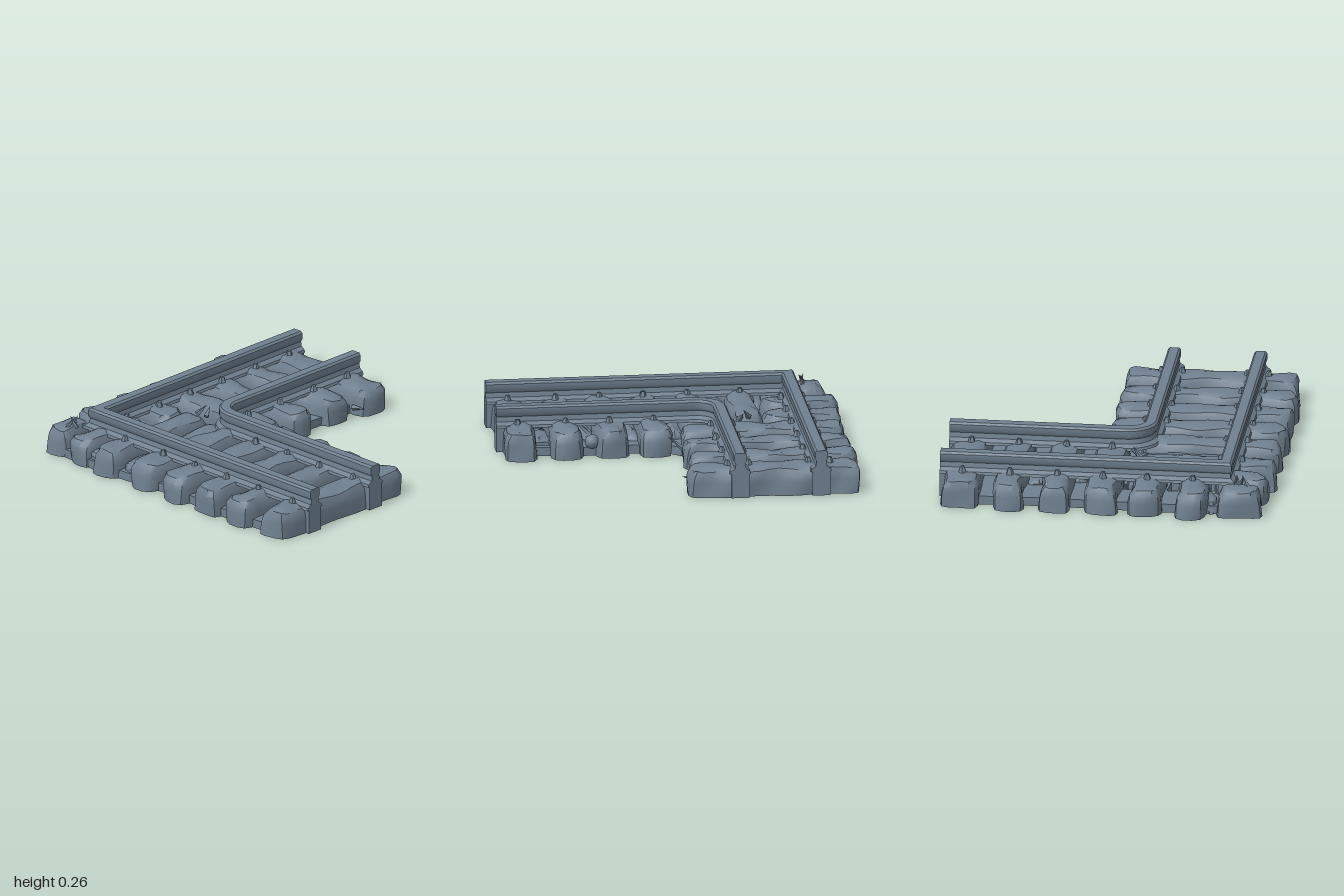
import * as THREE from 'three';
import { toCreasedNormals } from 'three/addons/utils/BufferGeometryUtils.js';

export function createModel() {
  const group = new THREE.Group();
  const slate = new THREE.MeshStandardMaterial({ color: 0x708090 });
  slate.name = 'slate grey';

  let seed = 11;
  const rnd = () => (seed = (seed * 16807) % 2147483647) / 2147483647;

  const add = (name, geo, crease = 0.6) => {
    const mesh = new THREE.Mesh(toCreasedNormals(geo, crease), slate);
    mesh.name = name;
    group.add(mesh);
    return mesh;
  };

  // Rough hewn block: a box with softened top edges, bulging ends and uneven faces
  const hewn = (name, x0, x1, z0, z1, y1, rough = 0.012) => {
    const w = x1 - x0, d = z1 - z0;
    const geo = new THREE.BoxGeometry(w, y1, d, Math.ceil(w / 0.06), 4, Math.ceil(d / 0.06));
    const p = geo.attributes.position;
    const a = rnd() * 6, b = rnd() * 6, skew = (rnd() - 0.5) * 0.03;
    for (let i = 0; i < p.count; i++) {
      let x = p.getX(i), y = p.getY(i) + y1 / 2, z = p.getZ(i);
      const ex = Math.max(0, Math.abs(x) - w / 2 + 0.05) / 0.05;
      const ez = Math.max(0, Math.abs(z) - d / 2 + 0.05) / 0.05;
      const t = Math.max(0, y / y1 - 0.6) / 0.4;
      const nx = rough * Math.sin(z * 17 + y * 13 + a) * Math.sin(x * 9 + b);
      const nz = rough * Math.sin(x * 15 + y * 11 + b) * Math.cos(z * 8 + a);
      const top = 0.006 * Math.sin(x * 19 + z * 23 + a);
      x += nx - Math.sign(x) * ex * (0.02 * t * t + 0.015 * ez);
      z += nz - Math.sign(z) * ez * (0.02 * t * t + 0.015 * ex);
      if (w > d) z += skew * x; else x += skew * z;
      if (y > 0.001) y += (top - 0.012 * Math.max(ex, ez)) * t;
      p.setXYZ(i, x, y, z);
    }
    geo.translate((x0 + x1) / 2, 0, (z0 + z1) / 2);
    return add(name, geo);
  };

  // Sleepers of the front arm, lying across x: [x0, x1, z0, z1]
  [[-0.9, -0.65, -0.94, -0.78], [-0.91, -0.62, -0.74, -0.58], [-0.94, -0.15, -0.53, -0.36],
    [-0.93, -0.14, -0.24, -0.06], [-0.94, 0.07, 0.01, 0.19], [-0.94, 0.07, 0.26, 0.44],
    [-0.94, 0.07, 0.52, 0.69], [-0.92, 0.08, 0.78, 0.96],
  ].forEach(([a, b, c, d]) => hewn('sleeperAcross', a, b, c, d, 0.163));

  // Sleepers of the right arm, lying along z
  [[-0.59, -0.42, -0.99, -0.56], [-0.33, -0.15, -0.97, -0.54], [-0.08, 0.11, -0.97, -0.04],
    [0.19, 0.36, -0.98, -0.03], [0.46, 0.63, -0.98, -0.02], [0.71, 0.92, -0.96, 0.01],
  ].forEach(([a, b, c, d]) => hewn('sleeperAlong', a, b, c, d, 0.16));

  // Low rubble bed with openings between sleepers
  const bed = new THREE.Shape([
    [-0.87, 0.92], [-0.89, 0.4], [-0.86, 0], [-0.9, -0.5], [-0.87, -0.88], [-0.3, -0.89],
    [0.3, -0.87], [0.86, -0.89], [0.88, -0.12], [0.6, -0.08], [0.3, -0.09], [0.08, -0.06],
    [-0.03, 0.06], [-0.01, 0.5], [-0.05, 0.92],
  ].map(([x, z]) => new THREE.Vector2(x, z)));
  [[-0.62, -0.56, -0.69, -0.53], [-0.4, -0.34, -0.69, -0.55], [-0.14, -0.09, -0.69, -0.6],
    [0.35, 0.47, -0.41, -0.32], [0.61, 0.72, -0.54, -0.31], [-0.59, -0.42, 0.68, 0.79],
    [-0.14, -0.07, 0.68, 0.79], [-0.54, -0.41, 0.2, 0.25], [-0.48, -0.42, -0.07, 0.01],
  ].forEach(([a, b, c, d]) => bed.holes.push(new THREE.Path(
    [[a, c], [b, c + 0.01], [b - 0.01, d], [a, d]].map(([x, z]) => new THREE.Vector2(x, z)))));
  const bedGeo = new THREE.ExtrudeGeometry(bed, { depth: 0.05, bevelEnabled: false });
  bedGeo.rotateX(Math.PI / 2).translate(0, 0.05, 0);
  add('rubbleBed', bedGeo);

  // Packed fill inside the corner and between some sleepers
  [[-0.65, -0.1, -0.4, -0.2, 0.11], [-0.3, -0.1, -0.62, -0.3, 0.09], [-0.88, -0.6, -0.62, -0.48, 0.1],
    [-0.88, -0.62, -0.36, -0.22, 0.1], [0.09, 0.2, -0.62, -0.36, 0.09], [0.34, 0.47, -0.68, -0.42, 0.08],
    [-0.4, -0.1, 0.17, 0.28, 0.09], [-0.42, -0.12, 0.43, 0.53, 0.08], [-0.4, -0.18, 0.67, 0.79, 0.07],
    [-0.4, -0.12, -0.08, 0.04, 0.1], [-0.64, -0.56, -0.9, -0.76, 0.1],
  ].forEach(([a, b, c, d, h]) => hewn('packedFill', a, b, c, d, h, 0.02));

  // Rail: one section swept along a mitred path of [x, z] points
  const half = [[0.06, 0.14], [0.055, 0.155], [0.032, 0.172], [0.027, 0.2], [0.037, 0.215], [0.037, 0.25], [0.026, 0.262]];
  const section = [...half, ...half.map(([s, y]) => [-s, y]).reverse()];
  const rail = (name, path) => {
    const pos = [], idx = [], n = section.length;
    const dir = (i) => new THREE.Vector2(path[i + 1][0] - path[i][0], path[i + 1][1] - path[i][1]).normalize();
    path.forEach(([x, z], i) => {
      const d0 = dir(Math.max(0, i - 1)), d1 = dir(Math.min(path.length - 2, i));
      const m = d0.clone().add(d1).normalize(), k = 1 / m.dot(d0);
      section.forEach(([s, y]) => pos.push(x - m.y * s * k, y, z + m.x * s * k));
      if (i < path.length - 1) {
        for (let j = 0; j < n; j++) {
          const a = i * n + j, b = i * n + (j + 1) % n;
          idx.push(a, a + n, b, b, a + n, b + n);
        }
      }
    });
    const last = (path.length - 1) * n;
    THREE.ShapeUtils.triangulateShape(section.map(([s, y]) => new THREE.Vector2(s, y)), [])
      .forEach(([a, b, c]) => idx.push(a, b, c, last + c, last + b, last + a));
    const geo = new THREE.BufferGeometry();
    geo.setAttribute('position', new THREE.Float32BufferAttribute(pos, 3));
    geo.setIndex(idx);
    add(name, geo);
  };
  rail('outerRail', [[-0.68, 0.99], [-0.68, -0.73], [0.94, -0.73]]);
  const bend = [];
  for (let i = 0; i <= 8; i++) {
    const t = (i / 8) * Math.PI / 2;
    bend.push([-0.06 - 0.13 * Math.cos(t), -0.14 - 0.13 * Math.sin(t)]);
  }
  rail('innerRail', [[-0.19, 0.99], ...bend, [0.94, -0.27]]);

  // Plates hanging below the rail ends
  const box = (name, w, h, d, x, y, z) => add(name, new THREE.BoxGeometry(w, h, d).translate(x, y, z));
  [-0.68, -0.19].forEach((x) => box('railEndPlate', 0.1, 0.15, 0.05, x, 0.075, 0.965));
  [-0.73, -0.27].forEach((z) => box('railEndPlate', 0.04, 0.15, 0.1, 0.92, 0.075, z));

  // Spike heads on both sides of each rail
  const spike = (x, z) => {
    const geo = new THREE.CylinderGeometry(0.012, 0.024, 0.035, 5);
    geo.rotateY(rnd() * 3).translate(x, 0.172, z);
    add('spike', geo);
  };
  for (const s of [-0.06, 0.06]) {
    [-0.45, -0.15, 0.1, 0.35, 0.6, 0.87].forEach((z) => {
      spike(-0.68 + s, z);
      if (z > 0) spike(-0.19 + s, z);
    });
    [-0.5, -0.24, 0.01, 0.27, 0.54, 0.81].forEach((x) => {
      spike(x, -0.73 + s);
      if (x > 0) spike(x, -0.27 + s);
    });
  }

  // Splinters and a loose stone
  const splinter = (x, y, z, len, rx, rz) => {
    const m = add('splinter', new THREE.ConeGeometry(0.018, len, 4));
    m.position.set(x, y, z);
    m.rotation.set(rx, 0, rz);
  };
  [[-0.8, 0.5], [-0.78, -0.3], [-0.76, 0.2]].forEach(([x, r]) => splinter(x, 0.18, -0.82, 0.08, r, -r));
  splinter(-0.14, 0.18, -0.43, 0.08, 0.6, -0.6);
  splinter(-0.12, 0.17, -0.4, 0.07, -0.4, -0.8);
  splinter(0.08, 0.08, -0.01, 0.14, 0.9, 0.3);
  splinter(0.7, 0.06, -0.01, 0.1, 1.4, 0);
  add('looseStone', new THREE.IcosahedronGeometry(0.042, 1)).position.set(-0.02, 0.08, 0.46);
  return group;
}
